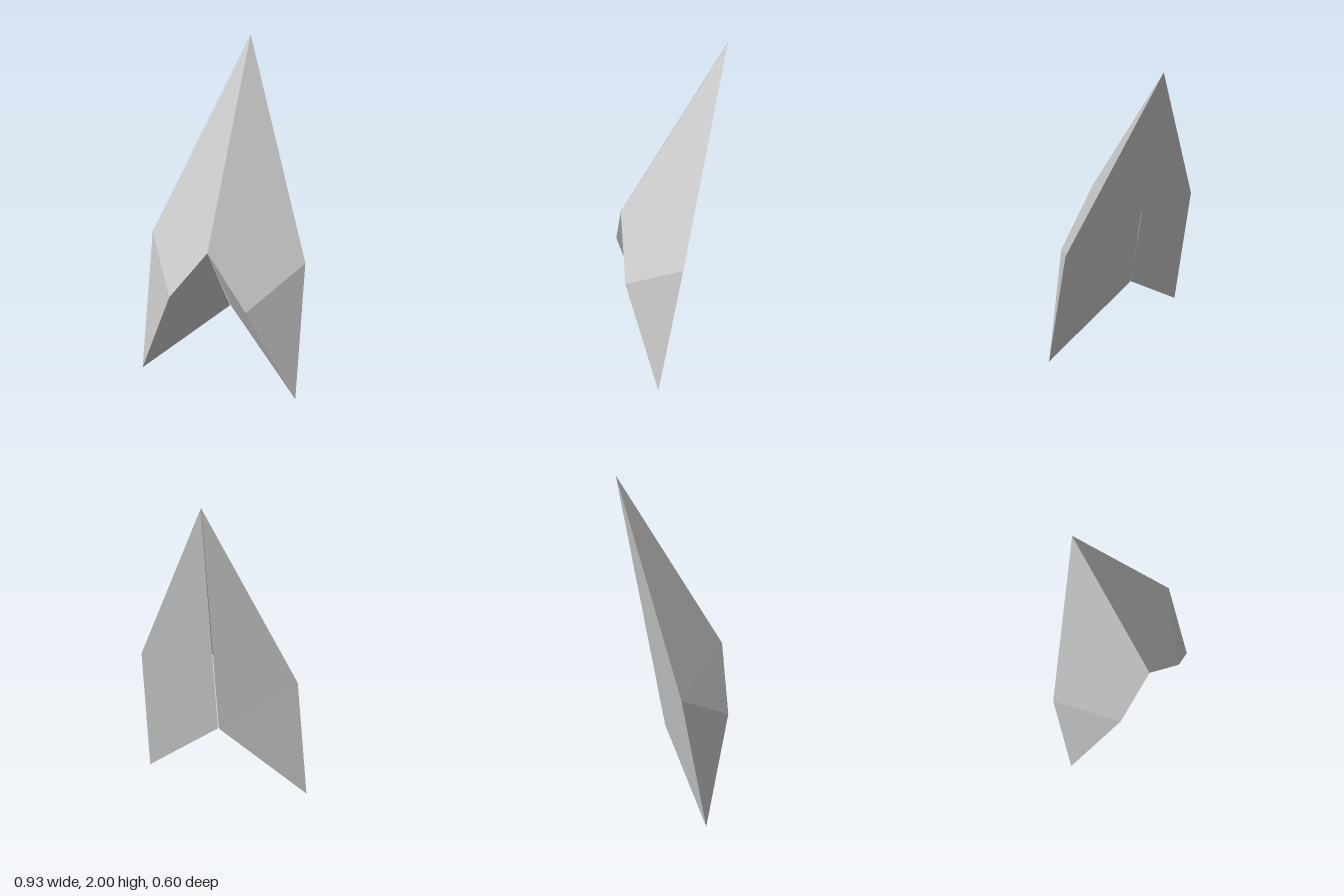
import * as THREE from 'three';

// Corners of the left (+x) half; the right half is its mirror image.
const CORNERS = {
  tip: [0.001, 2, -0.3],
  ridge: [0.001, 0.91, 0.3],
  shoulder: [0.465, 0.8, 0],
  knee: [0.233, 0.58, 0.3],
  foot: [0.465, 0.005, 0.14],
  notch: [0.003, 0.42, -0.02],
};

// Flat facets, corners counter-clockwise from outside on the +x half.
const FACETS = {
  FrontPanel: ['tip', 'ridge', 'knee', 'shoulder'],
  SidePanel: ['knee', 'foot', 'shoulder'],
  Underside: ['ridge', 'notch', 'foot', 'knee'],
  BackPanel: ['tip', 'shoulder', 'foot', 'notch'],
};

function facetGeometry(names, side) {
  const points = names.map((n) => {
    const [x, y, z] = CORNERS[n];
    return new THREE.Vector3(x * side, y, z);
  });
  if (side < 0) points.reverse(); // keep mirrored faces pointing outward
  const fan = [];
  for (let i = 1; i < points.length - 1; i++) fan.push(points[0], points[i], points[i + 1]);
  const geometry = new THREE.BufferGeometry().setFromPoints(fan);
  geometry.computeVertexNormals();
  return geometry;
}

export function createModel() {
  const model = new THREE.Group();
  model.name = 'foldedDart';
  const material = new THREE.MeshStandardMaterial({
    color: 0xcccccc,
    flatShading: true,
    side: THREE.DoubleSide,
  });

  // Two mirrored halves meeting along the centre fold
  for (const [prefix, side] of [['left', 1], ['right', -1]]) {
    const half = new THREE.Group();
    half.name = prefix + 'Half';
    for (const [name, corners] of Object.entries(FACETS)) {
      const mesh = new THREE.Mesh(facetGeometry(corners, side), material);
      mesh.name = prefix + name;
      half.add(mesh);
    }
    model.add(half);
  }
  return model;
}
